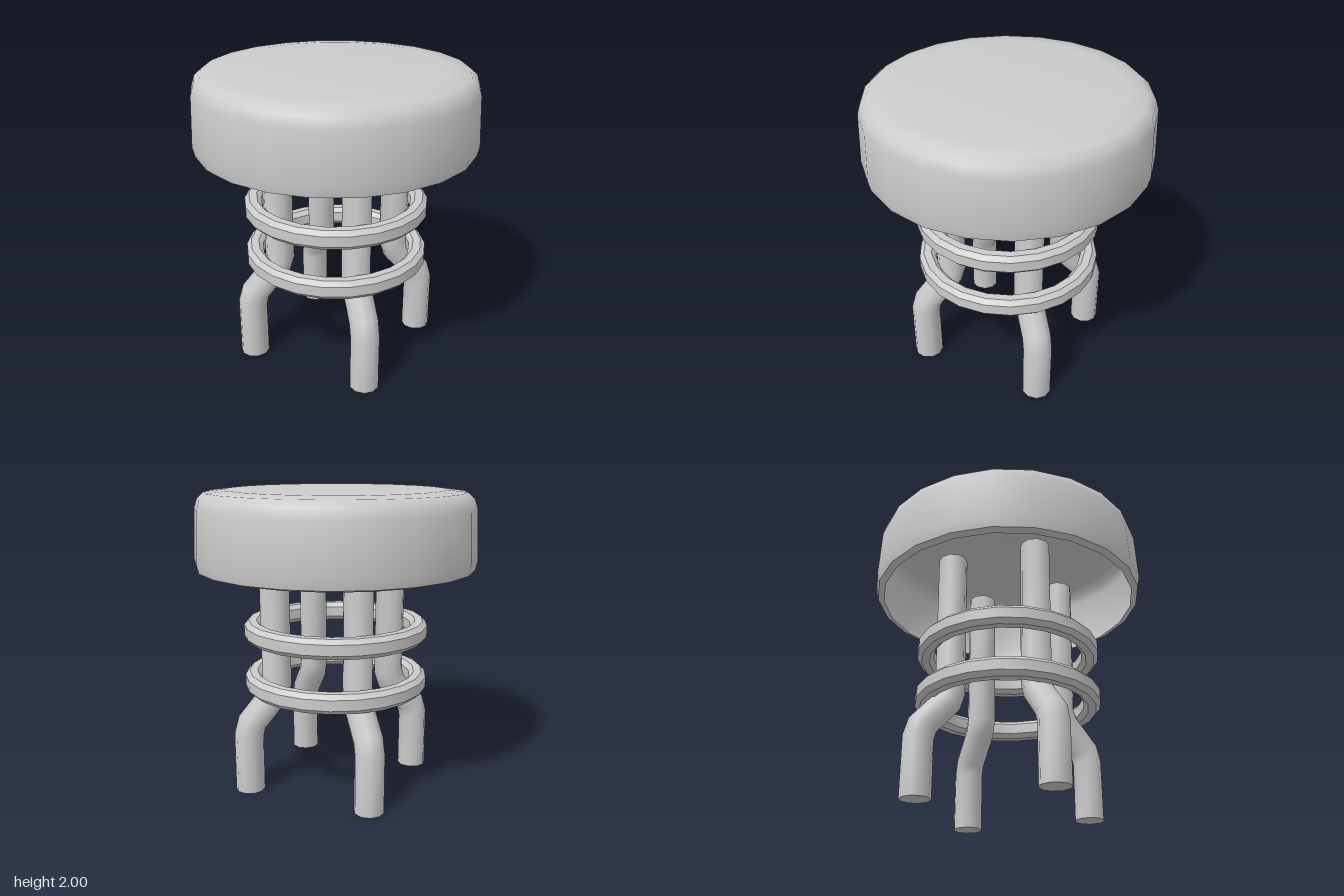
import * as THREE from 'three';
import { toCreasedNormals } from 'three/addons/utils/BufferGeometryUtils.js';

const grey = new THREE.MeshStandardMaterial({ color: 0xcccccc });
const greyBothSides = new THREE.MeshStandardMaterial({ color: 0xcccccc, side: THREE.DoubleSide });
const SIDES = 22;

function lathe(name, profile, material, crease) {
  const points = profile.map(([r, y]) => new THREE.Vector2(r, y));
  const geometry = new THREE.LatheGeometry(points, SIDES, Math.PI / 2);
  const mesh = new THREE.Mesh(toCreasedNormals(geometry, crease), material);
  mesh.name = name;
  return mesh;
}

// Round bar bent along a path of [distance from axis, height], mitred at each bend
function bentLegGeometry(path, radius) {
  const n = path.length - 1;
  const centres = path.map(([r, y]) => new THREE.Vector2(r, y));
  const geometry = new THREE.CylinderGeometry(radius, radius, 1, 10, n);
  const position = geometry.attributes.position;
  const heading = (a, b) => centres[b].clone().sub(centres[a]).normalize();
  for (let i = 0; i < position.count; i++) {
    const k = Math.round((position.getY(i) + 0.5) * n);
    const dir = new THREE.Vector2();
    if (k > 0) dir.add(heading(k - 1, k));
    if (k < n) dir.add(heading(k, k + 1));
    dir.normalize();
    const x = position.getX(i);
    position.setXY(i, centres[k].x + x * dir.y, centres[k].y - x * dir.x);
  }
  return toCreasedNormals(geometry, 0.9);
}

export function createModel() {
  const stool = new THREE.Group();
  stool.name = 'stool';

  // Cushion shell, open underneath with a turned-in lower lip
  stool.add(lathe('seat', [
    [0.87, 1.48], [0.915, 1.495], [0.93, 1.56], [0.915, 1.88],
    [0.895, 1.945], [0.85, 1.985], [0.72, 2], [0, 2],
  ], greyBothSides, 0.7));

  // Two chamfered rings around the legs
  const inner = 0.505, outer = 0.617, half = 0.065, c = 0.03;
  const section = [
    [outer, -half + c], [outer, half - c], [outer - c, half], [inner + c, half],
    [inner, half - c], [inner, -half + c], [inner + c, -half], [outer - c, -half],
    [outer, -half + c],
  ];
  [['lowerRing', 0.725], ['upperRing', 1.075]].forEach(([name, y]) => {
    const ring = lathe(name, section, grey, 0.6);
    ring.position.y = y;
    stool.add(ring);
  });

  // Four bent legs, one on each axis
  const legs = new THREE.Group();
  legs.name = 'legs';
  legs.position.x = 0.012;
  const legGeometry = bentLegGeometry([
    [0.612, 0], [0.612, 0.39], [0.588, 0.475], [0.435, 0.65], [0.41, 0.73], [0.42, 1.72],
  ], 0.098);
  ['leftLeg', 'backLeg', 'rightLeg', 'frontLeg'].forEach((name, i) => {
    const leg = new THREE.Mesh(legGeometry, grey);
    leg.name = name;
    leg.rotation.y = i * Math.PI / 2;
    legs.add(leg);
  });
  stool.add(legs);

  return stool;
}
